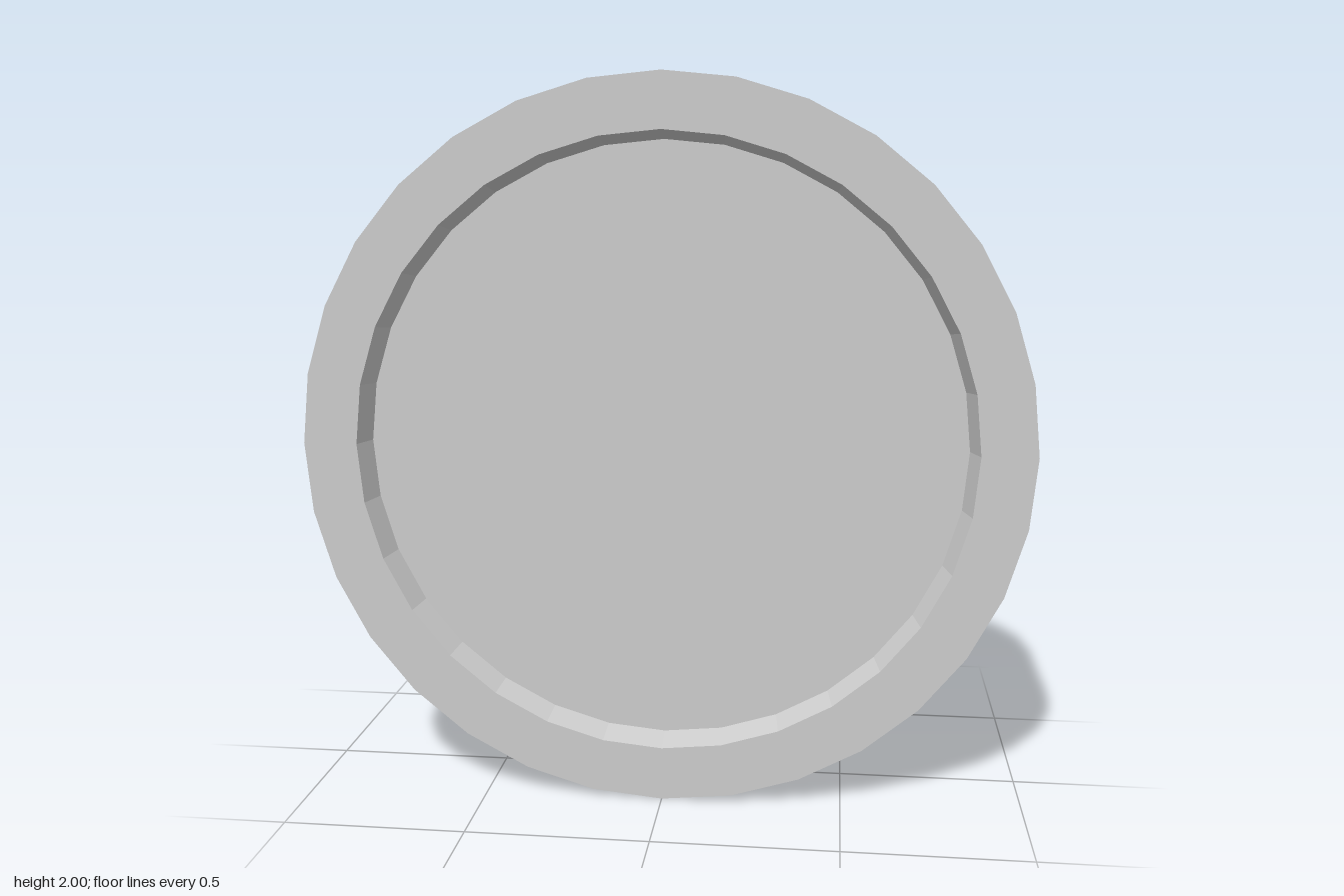
import * as THREE from 'three';

const SIDES = 32;
const RADIUS = 1;
const HALF_DEPTH = 0.232;
const RIM_INNER = 0.85;
const FLOOR_RADIUS = 0.827;
const RECESS = 0.075;

export function createModel() {
  const group = new THREE.Group();
  group.name = 'wheel';

  // Half profile of one face, from the floor centre out to the tread
  const face = [
    [0, HALF_DEPTH - RECESS],
    [FLOOR_RADIUS, HALF_DEPTH - RECESS],
    [RIM_INNER, HALF_DEPTH],
    [RADIUS, HALF_DEPTH],
  ];
  // Mirror it so both faces are recessed
  const profile = [
    ...face.map(([r, d]) => new THREE.Vector2(r, -d)),
    ...face.slice().reverse().map(([r, d]) => new THREE.Vector2(r, d)),
  ];

  // Faceted disc with its axis along z
  const geometry = new THREE.LatheGeometry(profile, SIDES).toNonIndexed();
  geometry.rotateX(Math.PI / 2);
  geometry.computeVertexNormals();

  const disc = new THREE.Mesh(
    geometry,
    new THREE.MeshStandardMaterial({ color: 0xcccccc, flatShading: true })
  );
  disc.name = 'recessedDisc';
  disc.position.y = RADIUS;
  group.add(disc);

  return group;
}
